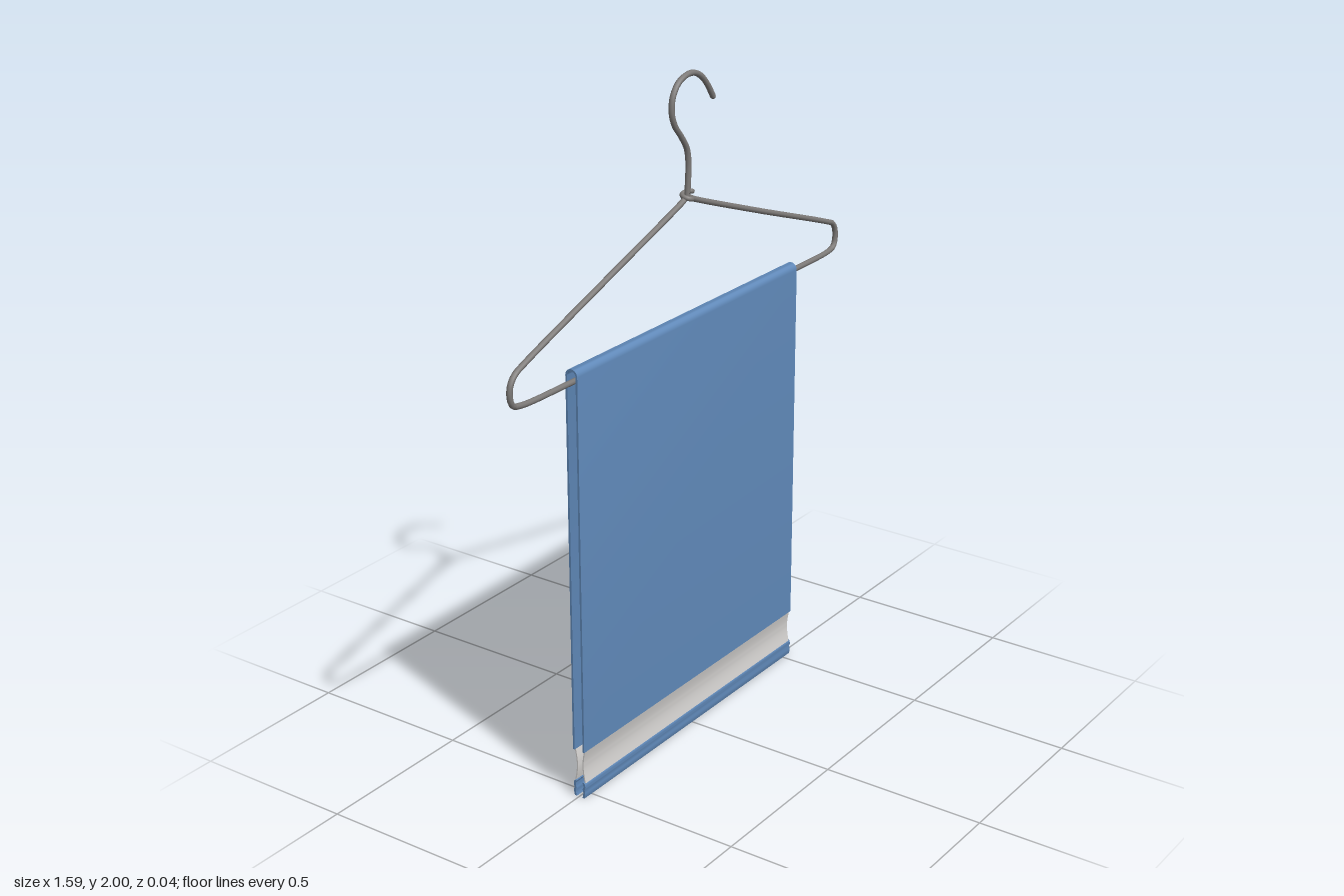
import * as THREE from 'three';
import { mergeVertices, toCreasedNormals } from 'three/addons/utils/BufferGeometryUtils.js';

const MID_Z = 0.002; // plane halfway between the two cloth panels

// Thin cloth sheet: a closed [depth, height] section swept across the width
function sheet(name, section, halfWidth, side, material) {
  const shape = new THREE.Shape(section.map(([d, y]) => new THREE.Vector2(-(MID_Z + side * d), y)));
  let geo = new THREE.ExtrudeGeometry(shape, { depth: halfWidth * 2, bevelEnabled: false });
  geo.translate(0, 0, -halfWidth);
  geo.rotateY(Math.PI / 2);
  geo.deleteAttribute('uv');
  geo.deleteAttribute('normal');
  geo = toCreasedNormals(mergeVertices(geo), 0.9);
  const mesh = new THREE.Mesh(geo, material);
  mesh.name = name;
  return mesh;
}

// Closes an outer profile with a copy of it moved inwards
function thicken(outer, t) {
  return [...outer, ...outer.map(([d, y]) => [d - t, y]).reverse()];
}

function wire(name, points, radius, segments, closed, material) {
  const curve = new THREE.CatmullRomCurve3(points.map(([x, y, z = 0]) => new THREE.Vector3(x, y, z)), closed, 'centripetal');
  const mesh = new THREE.Mesh(new THREE.TubeGeometry(curve, segments, radius, 10, closed), material);
  mesh.name = name;
  return mesh;
}

export function createModel() {
  const blue = new THREE.MeshStandardMaterial({ color: 0x5f88b8 });
  blue.name = 'blue cloth';
  const white = new THREE.MeshStandardMaterial({ color: 0xd2d0ce });
  white.name = 'pale band';
  const steel = new THREE.MeshStandardMaterial({ color: 0x7c7977 });
  steel.name = 'grey wire';

  const model = new THREE.Group();
  model.name = 'towelOnHanger';

  // Main cloth folded over the bar
  const towel = new THREE.Group();
  towel.name = 'towel';
  const arc = (r, steps) => Array.from({ length: steps + 1 }, (_, i) => {
    const a = (i / steps) * Math.PI;
    return [r * Math.cos(a), 1.288 + r * Math.sin(a)];
  });
  const fold = [[0.02, 0.15], ...arc(0.02, 12), [-0.02, 0.15], [-0.014, 0.15], ...arc(0.014, 12).reverse(), [0.014, 0.15]];
  towel.add(sheet('foldedCloth', fold, 0.535, 1, blue));

  // Concave pale band and rolled hem on both panels
  const band = [];
  for (let i = 0; i <= 12; i++) {
    const t = i / 12;
    band.push([0.019 - 0.007 * Math.sin(Math.PI * t), 0.048 + 0.104 * t]);
  }
  const hem = [[0.017, 0], [0.0195, 0.008], [0.02, 0.018], [0.018, 0.028], [0.0205, 0.034],
    [0.0205, 0.04], [0.019, 0.046], [0.016, 0.05]];
  for (const side of [1, -1]) {
    const label = side > 0 ? 'front' : 'back';
    towel.add(sheet(label + 'Band', thicken(band, 0.004), 0.529, side, white));
    towel.add(sheet(label + 'Hem', thicken(hem, 0.007), 0.534, side, blue));
  }
  model.add(towel);

  // Wire hanger
  const hanger = new THREE.Group();
  hanger.name = 'hanger';
  const R = 0.0085;
  hanger.add(wire('hangerFrame', [
    [0, 1.648], [-0.02, 1.638], [-0.35, 1.52], [-0.73, 1.383], [-0.765, 1.367], [-0.785, 1.343], [-0.789, 1.31],
    [-0.778, 1.284], [-0.75, 1.275], [-0.535, 1.269], [0, 1.27], [0.535, 1.279], [0.75, 1.284],
    [0.775, 1.293], [0.784, 1.315], [0.782, 1.345], [0.768, 1.367], [0.735, 1.381], [0.35, 1.517], [0.02, 1.638],
  ], R, 260, true, steel));
  hanger.add(wire('hook', [
    [0, 1.645], [0.004, 1.69], [0.006, 1.745], [-0.002, 1.785], [-0.028, 1.824], [-0.058, 1.861], [-0.072, 1.9],
    [-0.067, 1.942], [-0.042, 1.975], [-0.005, 1.99], [0.03, 1.99], [0.065, 1.974], [0.095, 1.945], [0.123, 1.905],
  ], R, 110, false, steel));
  const tip = new THREE.Mesh(new THREE.SphereGeometry(R, 10, 8), steel);
  tip.name = 'hookTip';
  tip.position.set(0.123, 1.905, 0);
  hanger.add(tip);

  // Wire twisted around the neck
  const twist = [];
  for (let i = 0; i <= 14; i++) {
    const a = (i / 14) * Math.PI * 2.7;
    twist.push([0.0135 * Math.cos(a), 1.637 + 0.0022 * i, 0.0145 * Math.sin(a)]);
  }
  hanger.add(wire('neckTwist', twist, 0.007, 56, false, steel));
  model.add(hanger);

  return model;
}
